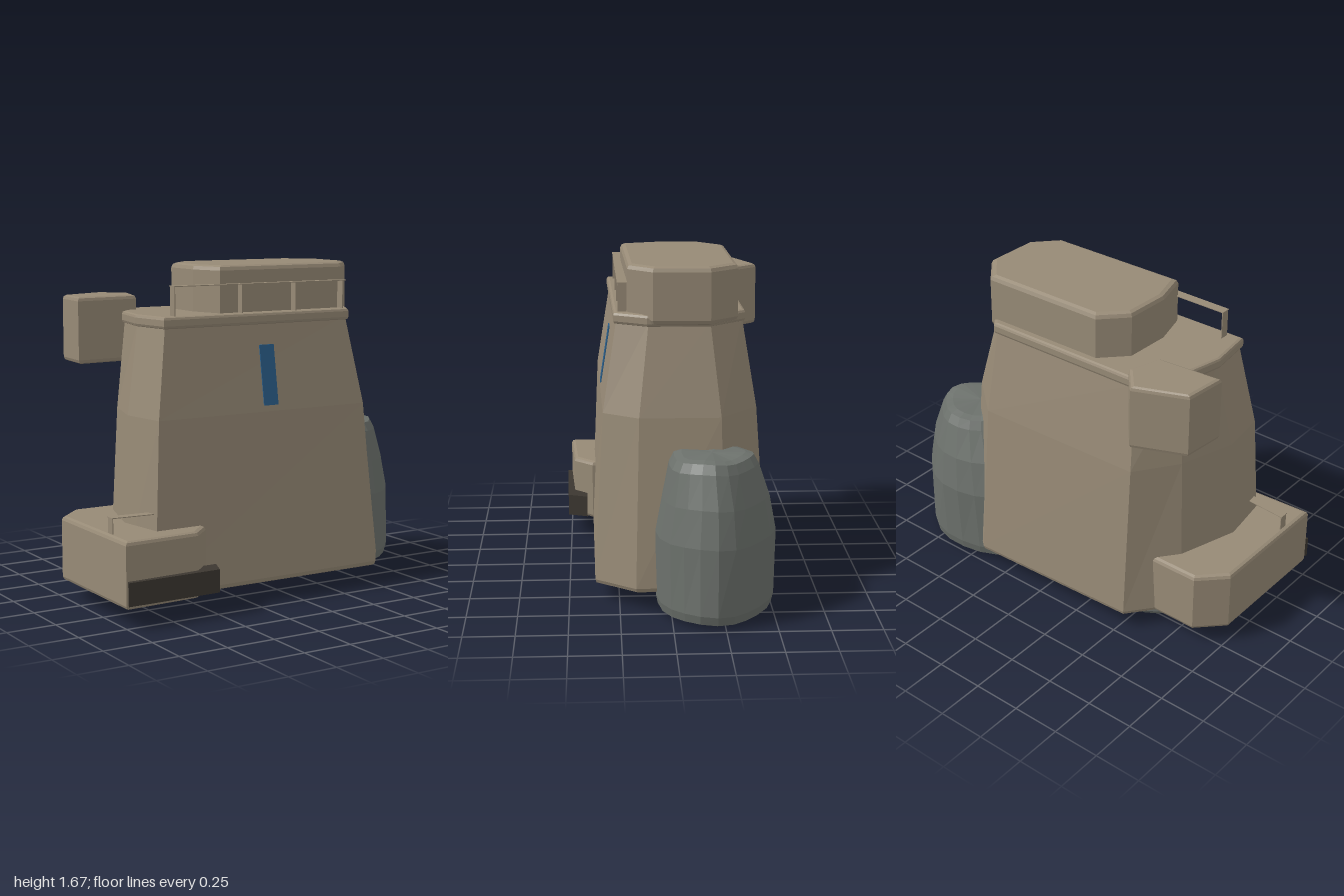
import * as THREE from 'three';

// Outlines run counterclockwise seen from above, as [x, z] pairs.
const BASE = [[-0.78, 0.38], [0.54, 0.37], [0.69, 0.17], [0.67, -0.27], [0.4, -0.5], [-0.53, -0.46], [-0.72, -0.22], [-0.82, 0.11]];
const MID = [[-0.735, 0.345], [0.48, 0.325], [0.6, 0.15], [0.6, -0.25], [0.38, -0.44], [-0.53, -0.415], [-0.68, -0.2], [-0.77, 0.09]];
const TOP = [[-0.66, 0.275], [0.41, 0.255], [0.5, 0.1], [0.5, -0.2], [0.36, -0.365], [-0.5, -0.35], [-0.64, -0.18], [-0.69, 0.05]];
const ROOF = [[-0.37, 0.04], [-0.32, 0.22], [0.42, 0.2], [0.53, 0.08], [0.54, -0.2], [0.42, -0.34], [-0.24, -0.325], [-0.36, -0.2]];
const BACK_BOX = [[-0.89, -0.2], [-0.55, -0.23], [-0.5, -0.4], [-0.61, -0.53], [-0.87, -0.42]];
const SIDE_BOX = [[-1, 0.5], [-0.6, 0.48], [-0.5, 0.38], [-0.55, -0.33], [-0.87, -0.33], [-1, -0.2]];
const BUMPER = [[-1, 0.525], [-0.5, 0.515], [-0.46, 0.41], [-0.96, 0.42]];

const material = (name, color) => {
  const m = new THREE.MeshStandardMaterial({ color });
  m.name = name;
  return m;
};

// Pull an outline inwards by about d
function inset(pts, d) {
  const xs = pts.map(p => p[0]), zs = pts.map(p => p[1]);
  const shrink = v => {
    const lo = Math.min(...v), hi = Math.max(...v), c = (lo + hi) / 2;
    return t => c + (t - c) * (1 - 2 * d / (hi - lo));
  };
  const fx = shrink(xs), fz = shrink(zs);
  return pts.map(([x, z]) => [fx(x), fz(z)]);
}

// Flat-faced solid through rings of [y, outline], capped at both ends
function loft(rings) {
  const pos = [], n = rings[0][1].length;
  const tri = (...v) => v.forEach(p => pos.push(...p));
  const at = (r, i) => {
    const [x, z, dy = 0] = rings[r][1][i % n];
    return [x, rings[r][0] + dy, z];
  };
  const centre = r => {
    const c = [0, 0, 0];
    for (let i = 0; i < n; i++) at(r, i).forEach((v, k) => { c[k] += v / n; });
    return c;
  };
  const last = rings.length - 1;
  for (let i = 0; i < n; i++) {
    for (let r = 0; r < last; r++) {
      tri(at(r, i), at(r, i + 1), at(r + 1, i + 1));
      tri(at(r, i), at(r + 1, i + 1), at(r + 1, i));
    }
    tri(centre(0), at(0, i + 1), at(0, i));
    tri(centre(last), at(last, i), at(last, i + 1));
  }
  const g = new THREE.BufferGeometry();
  g.setAttribute('position', new THREE.Float32BufferAttribute(pos, 3));
  g.computeVertexNormals();
  return g;
}

// Upright prism with softened top and bottom edges
const slab = (pts, y0, y1, b) => loft([
  [y0, inset(pts, b)], [y0 + b * 0.3, inset(pts, b * 0.3)], [y0 + b, pts],
  [y1 - b, pts], [y1 - b * 0.3, inset(pts, b * 0.3)], [y1, inset(pts, b)],
]);

// Lumpy boulder; profile rows are [y, centreX, centreZ, radiusX, radiusZ]
function boulder(profile, phase) {
  const n = 22;
  return loft(profile.map(([y, cx, cz, rx, rz]) => [y, Array.from({ length: n }, (_, i) => {
    const a = -i / n * Math.PI * 2;
    const k = 0.97 + 0.035 * Math.sin(3 * a + phase) + 0.025 * Math.sin(5 * a + phase * 2 + y);
    return [cx + rx * k * Math.cos(a), cz + rz * k * Math.sin(a), 0.006 * Math.sin(4 * a + phase)];
  })]));
}

export function createModel() {
  const model = new THREE.Group();
  const stone = material('tan hull', 0x978a76);
  const rock = material('grey rock', 0x6c716c);
  const dark = material('dark bumper', 0x3c3730);
  const blue = material('blue window', 0x2c608c);
  rock.flatShading = true;

  const add = (name, geometry, mat, parent = model) => {
    const mesh = new THREE.Mesh(geometry, mat);
    mesh.name = name;
    parent.add(mesh);
    return mesh;
  };

  // Tapered tower and its deck
  add('towerBody', loft([
    [0.085, inset(BASE, 0.02)], [0.092, inset(BASE, 0.006)], [0.11, BASE], [0.95, MID], [1.4, TOP],
  ]), stone);
  add('deck', slab(inset(TOP, -0.015), 1.38, 1.44, 0.015), stone);

  // Boxes on and around the tower
  add('roofBlock', slab(ROOF, 1.39, 1.675, 0.025), stone);
  add('backBox', slab(BACK_BOX, 1.18, 1.515, 0.02), stone);
  add('sideBox', slab(SIDE_BOX, 0.09, 0.42, 0.02), stone);
  add('bumper', loft([[0.115, BUMPER], [0.23, BUMPER]]), dark);

  // Window plate laid on the sloping front wall
  const pane = new THREE.BoxGeometry(0.085, 0.3, 0.006);
  pane.translate(-0.09, 1.13, 0);
  const p = pane.attributes.position;
  for (let i = 0; i < p.count; i++) {
    const x = p.getX(i), y = p.getY(i);
    const low = 0.345 - 0.0165 * (x + 0.735), high = 0.275 - 0.0187 * (x + 0.66);
    p.setZ(i, p.getZ(i) + 0.002 + THREE.MathUtils.lerp(low, high, (y - 0.95) / 0.45));
  }
  pane.computeVertexNormals();
  add('window', pane, blue);

  // Thin flat rails on narrow posts
  function railing(name, x0, x1, z0, z1, y0, y1, posts) {
    const g = new THREE.Group();
    g.name = name;
    const w = 0.025;
    const strip = [[x0, z0 + w], [x1, z1 + w], [x1, z1 - w], [x0, z0 - w]];
    add('rail', loft([[y1 - 0.004, strip], [y1, strip]]), stone, g);
    for (const x of posts) {
      const z = THREE.MathUtils.mapLinear(x, x0, x1, z0, z1);
      add('post', new THREE.BoxGeometry(0.005, y1 - y0, 0.045), stone, g)
        .position.set(x, (y0 + y1) / 2, z);
    }
    model.add(g);
  }
  railing('deckRailing', -0.6, 0.42, 0.235, 0.225, 1.43, 1.585, [-0.595, -0.21, 0.11, 0.4]);
  railing('sideBoxRailing', -0.98, -0.62, 0.295, 0.325, 0.41, 0.5, [-0.975, -0.625]);

  // Boulders carrying the tower
  add('largeRock', boulder([
    [0.008, 0.61, -0.21, 0.33, 0.25], [0.025, 0.61, -0.21, 0.37, 0.29], [0.07, 0.61, -0.21, 0.385, 0.3],
    [0.4, 0.62, -0.21, 0.365, 0.305], [0.58, 0.64, -0.21, 0.31, 0.27], [0.74, 0.66, -0.2, 0.235, 0.225],
    [0.785, 0.66, -0.2, 0.21, 0.2], [0.795, 0.66, -0.2, 0.17, 0.16],
  ], 0.8), rock);
  add('smallRock', boulder([
    [0.022, -0.465, -0.1, 0.18, 0.19], [0.032, -0.465, -0.1, 0.23, 0.24],
    [0.06, -0.465, -0.1, 0.25, 0.26], [0.14, -0.465, -0.1, 0.24, 0.25],
  ], 2.1), rock);

  return model;
}
